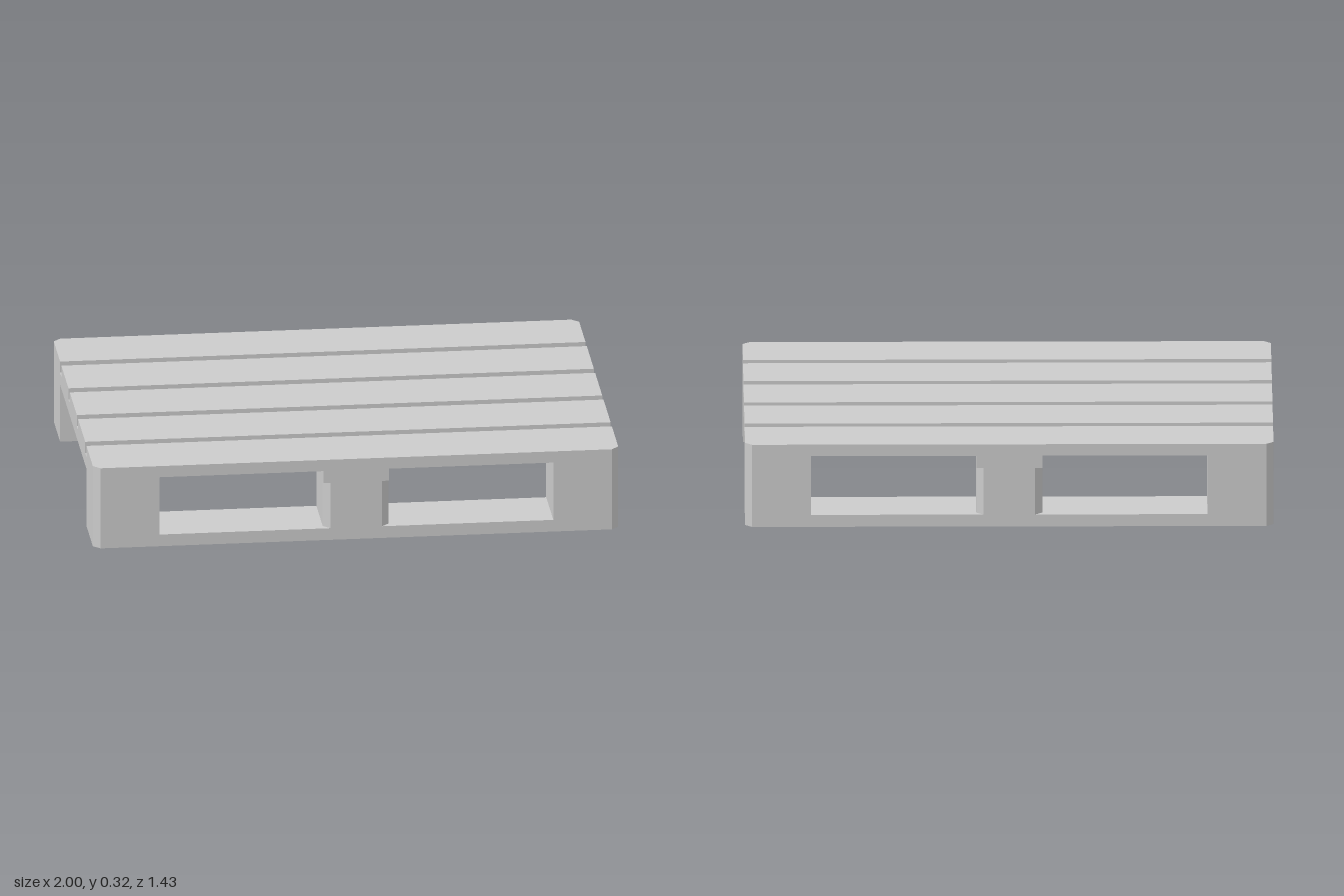
import * as THREE from 'three';

const material = new THREE.MeshStandardMaterial({ color: 0xcccccc, flatShading: true });
const CUT = 0.027; // corner bevel seen from above
const HALF_DEPTH = 0.715;
const BOARD = 0.25; // width of every board and block

// Plank from a plan outline, extruded upward. cuts lists the bevelled corners
// as [xSign, zSign] strings, e.g. '+-' for the +x, -z corner.
function plank(name, x, z, width, depth, y0, y1, cuts = []) {
  const corners = [['+', '+'], ['-', '+'], ['-', '-'], ['+', '-']];
  const points = [];
  corners.forEach(([a, b], i) => {
    const sx = a === '+' ? 1 : -1;
    const sz = b === '+' ? 1 : -1;
    const px = sx * width / 2;
    const pz = sz * depth / 2;
    if (!cuts.includes(a + b)) {
      points.push(new THREE.Vector2(px, -pz));
      return;
    }
    const pair = [
      new THREE.Vector2(px, -(pz - sz * CUT)),
      new THREE.Vector2(px - sx * CUT, -pz),
    ];
    points.push(...(i % 2 ? pair.reverse() : pair));
  });
  const geometry = new THREE.ExtrudeGeometry(new THREE.Shape(points), {
    depth: y1 - y0,
    bevelEnabled: false,
  });
  geometry.rotateX(-Math.PI / 2);
  const mesh = new THREE.Mesh(geometry, material);
  mesh.name = name;
  mesh.position.set(x, y0, z);
  return mesh;
}

export function createModel() {
  const pallet = new THREE.Group();
  pallet.name = 'pallet';
  const edgeZ = HALF_DEPTH - BOARD / 2;
  const columns = [-1, 0, 1];
  const columnX = 1 - BOARD / 2;

  // Five deck boards; the outer two have bevelled outer corners
  for (let i = -2; i <= 2; i++) {
    const s = i < 0 ? '-' : '+';
    const cuts = Math.abs(i) === 2 ? ['+' + s, '-' + s] : [];
    pallet.add(plank('deckBoard', 0, i * edgeZ / 2, 2, BOARD, 0.278, 0.323, cuts));
  }

  // Three stringers running front to back below the deck
  for (const c of columns) {
    const s = c < 0 ? '-' : '+';
    const cuts = c ? [s + '+', s + '-'] : [];
    pallet.add(plank('stringer', c * columnX, 0, BOARD, 2 * HALF_DEPTH, 0.23, 0.278, cuts));
  }

  // Front and back runners, each carrying three blocks
  for (const side of [-1, 1]) {
    const s = side < 0 ? '-' : '+';
    const outer = ['+' + s, '-' + s];
    pallet.add(plank('bottomRunner', 0, side * edgeZ, 2, BOARD, 0, 0.047, outer));
    for (const c of columns) {
      const cuts = c ? [(c < 0 ? '-' : '+') + s] : outer;
      pallet.add(plank('spacerBlock', c * columnX, side * edgeZ, BOARD, BOARD, 0.047, 0.23, cuts));
    }
  }
  return pallet;
}
